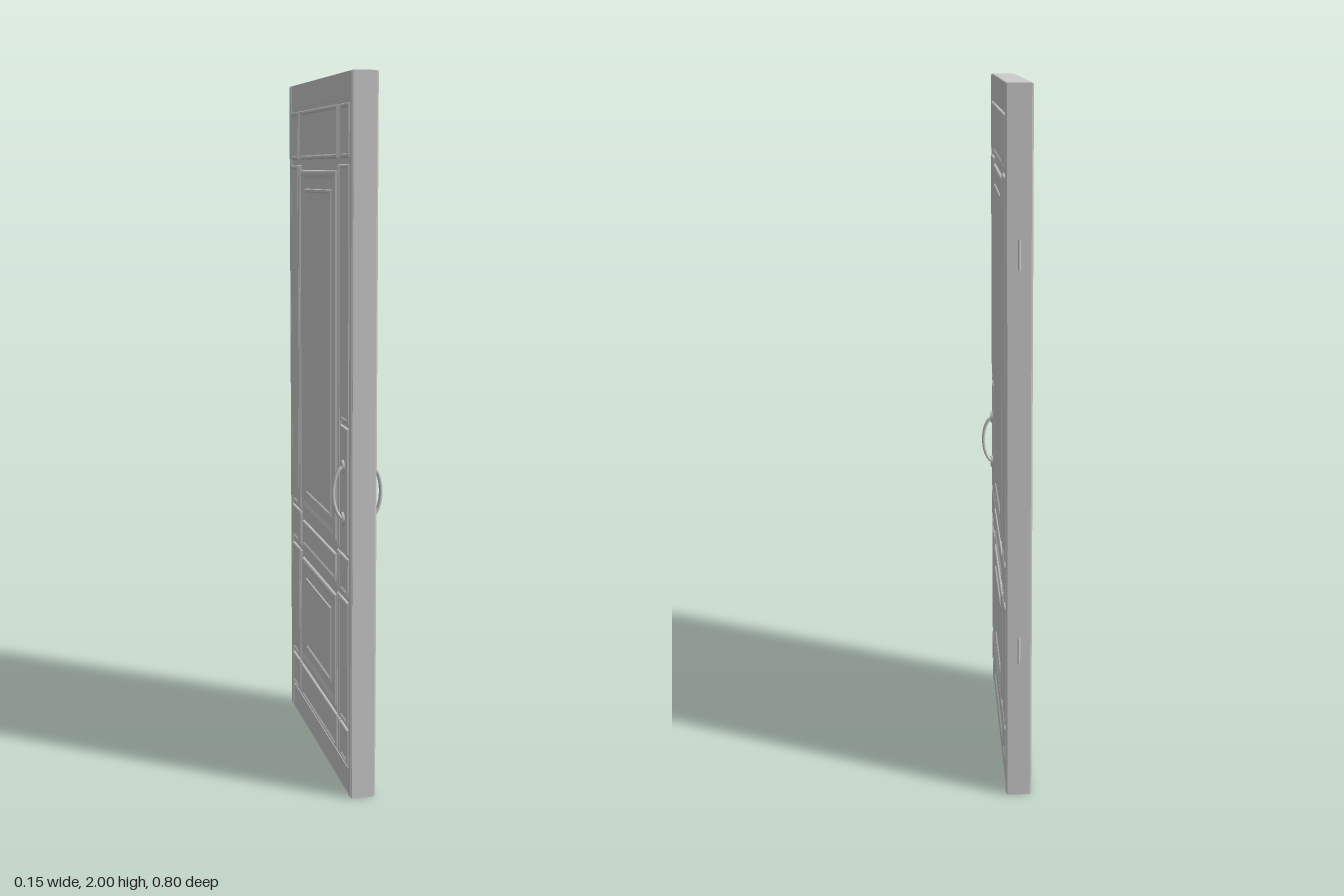
import * as THREE from 'three';

const grey = new THREE.MeshStandardMaterial({ color: 0xcccccc });

function add(parent, name, geometry, x = 0, y = 0, z = 0) {
  const mesh = new THREE.Mesh(geometry, grey);
  mesh.name = name;
  mesh.position.set(x, y, z);
  parent.add(mesh);
  return mesh;
}

// Nested rectangles, each [inset, height], joined into a stepped moulding and capped.
function steppedPanel(u0, u1, v0, v1, steps) {
  const pos = [];
  const loops = steps.map(([i, w]) => [
    [u0 + i, v0 + i, w], [u1 - i, v0 + i, w], [u1 - i, v1 - i, w], [u0 + i, v1 - i, w],
  ]);
  const quad = (a, b, c, d) => pos.push(...a, ...b, ...c, ...a, ...c, ...d);
  for (let k = 0; k < loops.length - 1; k++) {
    for (let j = 0; j < 4; j++) {
      const n = (j + 1) % 4;
      quad(loops[k][j], loops[k][n], loops[k + 1][n], loops[k + 1][j]);
    }
  }
  quad(...loops[loops.length - 1]);
  const g = new THREE.BufferGeometry();
  g.setAttribute('position', new THREE.Float32BufferAttribute(pos, 3));
  g.computeVertexNormals();
  return g;
}

// Moulding sections, from the outer edge inwards
const FRAMED = [[0, 0.03], [0.002, 0.037], [0.004, 0.039], [0.009, 0.039], [0.013, 0.035]];
const STRIP = [[0, 0.03], [0.003, 0.038]];
const FLAT = [[0, 0.03], [0.001, 0.034]];
const EDGE = [[0, 0.03], [0.003, 0.0365]];
const RAISED = [
  [0, 0.03], [0.003, 0.038], [0.007, 0.041], [0.014, 0.041], [0.026, 0.036],
  [0.055, 0.036], [0.057, 0.04], [0.063, 0.04], [0.066, 0.036],
];

const ROWS = [[0.085, 0.19], [0.2, 0.56], [0.575, 0.685], [0.695, 1.76], [1.775, 1.92]];

function buildFace(s) {
  const face = new THREE.Group();
  face.name = s > 0 ? 'leftFace' : 'rightFace';
  face.rotation.y = s * Math.PI / 2;
  // z positions are given in the door's frame
  const panel = (name, z0, z1, y0, y1, steps) => {
    const u = [-z0 * s, -z1 * s].sort((a, b) => a - b);
    add(face, name, steppedPanel(u[0], u[1], y0, y1, steps));
  };

  // Outer edges and plain rails
  panel('lockEdge', 0.375, 0.4, 0, 2, EDGE);
  panel('hingeEdge', -0.396, -0.371, 0, 2, EDGE);
  panel('topRail', -0.371, 0.375, 1.93, 2, FLAT);
  panel('bottomRail', -0.371, 0.375, 0, 0.077, FLAT);

  // Side columns, narrow strips and centre panels
  ROWS.forEach(([y0, y1], i) => {
    const lockBase = i === 3 ? 1.06 : y0;
    panel('lockColumnPanel', 0.278, 0.37, lockBase, y1, FRAMED);
    panel('hingeColumnPanel', -0.364, -0.272, y0, y1, FRAMED);
    panel('lockStrip', 0.256, 0.274, y0, y1, STRIP);
    panel('lockStrip', 0.24, 0.253, y0, y1, STRIP);
    panel('hingeStrip', -0.268, -0.25, y0, y1, STRIP);
    panel('hingeStrip', -0.247, -0.234, y0, y1, STRIP);
    if (i === 1 || i === 3) panel('raisedPanel', -0.218, 0.224, y0 + 0.008, y1 - 0.015, RAISED);
    else if (i === 2) panel('middlePanel', -0.214, 0.222, 0.583, 0.665, FRAMED);
    else panel('centrePanel', -0.23, 0.236, y0, y1, FRAMED);
  });

  // Lock plate, rosettes and pull handle
  panel('lockPlate', 0.28, 0.368, 0.695, 1.05, [[0, 0.03], [0.003, 0.039]]);
  const u = -0.324 * s;
  for (const y of [0.79, 0.937]) {
    const rosette = new THREE.CylinderGeometry(0.017, 0.022, 0.01, 24).rotateX(Math.PI / 2);
    add(face, 'handleRosette', rosette, u, y, 0.04);
  }
  const points = [];
  for (let i = 0; i <= 8; i++) {
    const a = -Math.PI / 2 + Math.PI * i / 8;
    points.push(new THREE.Vector3(0, 0.864 + 0.074 * Math.sin(a), 0.034 + 0.034 * Math.cos(a)));
  }
  const pull = new THREE.TubeGeometry(new THREE.CatmullRomCurve3(points), 32, 0.005, 10);
  add(face, 'pullHandle', pull, u).scale.x = 1.5;
  return face;
}

export function createModel() {
  const door = new THREE.Group();
  door.name = 'door';

  add(door, 'doorCore', new THREE.BoxGeometry(0.064, 2, 0.796), 0, 1, 0.002);
  door.add(buildFace(1), buildFace(-1));

  // Hinge pins on the narrow edge
  for (const y of [0.445, 1.56]) {
    add(door, 'hinge', new THREE.CylinderGeometry(0.004, 0.004, 0.08, 12), 0, y, -0.396);
  }
  return door;
}
